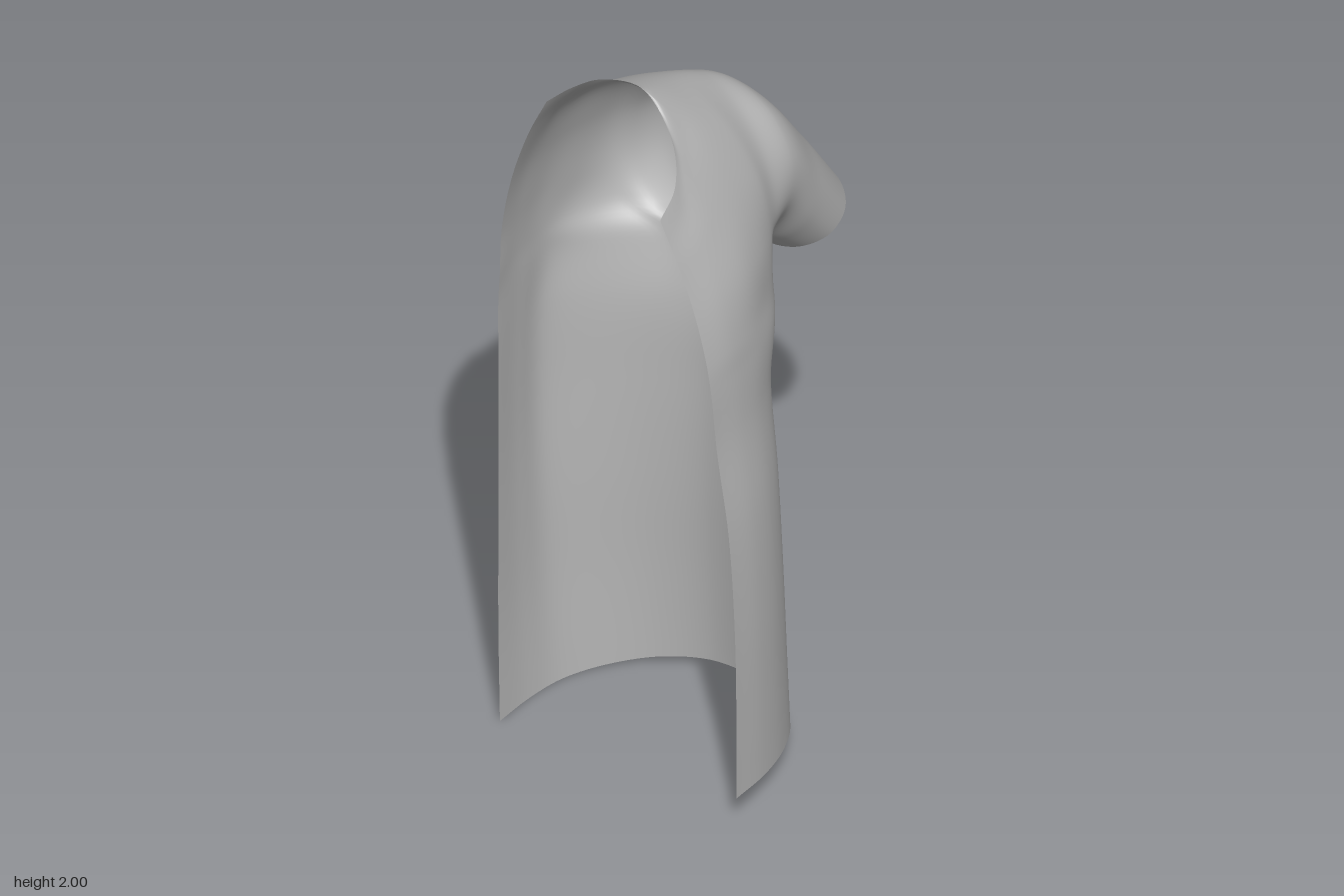
import * as THREE from 'three';
import { mergeVertices } from 'three/addons/utils/BufferGeometryUtils.js';

const V = (x, y, z) => new THREE.Vector3(x, y, z);
const CENTRE = -0.47; // open centre line of the half shirt
const COLS = 5;       // control columns from centre line to side seam / armhole
const NECK = 3;       // column that ends at the neck corner
const STEP = 7;       // grid steps per control span

// Torso rings: height, side seam x, front z, back z, shoulder blade fullness
const rings = [
  [0, 0.03, 0.4, -0.36, 0.025],
  [0.3, 0.012, 0.4, -0.365, 0.042],
  [0.6, -0.005, 0.395, -0.365, 0.055],
  [0.9, -0.008, 0.375, -0.365, 0.068],
  [1.15, 0.005, 0.337, -0.365, 0.07],
  [1.31, 0.05, 0.32, -0.365, 0.068],
];
const ARMPIT = rings.length - 1;

// Rows from armpit to neckline and shoulder ridge, centre line to armhole
const ridge = [[-0.26, 1.985, -0.07], [-0.11, 1.918, -0.1], [0.03, 1.852, -0.11]];
const frontRows = [
  [[-0.47, 1.4, 0.305], [-0.36, 1.4, 0.305], [-0.25, 1.4, 0.285], [-0.14, 1.4, 0.24], [-0.04, 1.4, 0.18], [0.03, 1.39, 0.08]],
  [[-0.47, 1.53, 0.27], [-0.36, 1.54, 0.27], [-0.25, 1.54, 0.255], [-0.14, 1.53, 0.22], [-0.05, 1.52, 0.18], [0.03, 1.5, 0.138]],
  [[-0.47, 1.66, 0.22], [-0.36, 1.68, 0.205], [-0.26, 1.7, 0.18], [-0.15, 1.71, 0.15], [-0.05, 1.68, 0.135], [0.03, 1.65, 0.113]],
  [[-0.47, 1.74, 0.18], [-0.37, 1.765, 0.155], [-0.3, 1.82, 0.115], [-0.21, 1.88, 0.05], [-0.08, 1.84, 0.03], [0.03, 1.78, 0.025]],
  [[-0.47, 1.79, 0.155], [-0.37, 1.825, 0.125], [-0.3, 1.9, 0.06], ...ridge],
];
const backRows = [
  [[-0.47, 1.4, -0.36], [-0.36, 1.4, -0.385], [-0.25, 1.4, -0.395], [-0.14, 1.4, -0.375], [-0.04, 1.4, -0.32], [0.03, 1.39, -0.24]],
  [[-0.47, 1.53, -0.355], [-0.36, 1.53, -0.375], [-0.25, 1.53, -0.385], [-0.14, 1.53, -0.37], [-0.05, 1.52, -0.348], [0.03, 1.5, -0.315]],
  [[-0.47, 1.7, -0.325], [-0.36, 1.7, -0.345], [-0.26, 1.7, -0.35], [-0.15, 1.7, -0.34], [-0.05, 1.68, -0.33], [0.03, 1.65, -0.315]],
  [[-0.47, 1.87, -0.27], [-0.37, 1.87, -0.277], [-0.3, 1.87, -0.28], [-0.2, 1.87, -0.265], [-0.08, 1.835, -0.25], [0.03, 1.78, -0.235]],
  [[-0.47, 2, -0.21], [-0.38, 2, -0.195], [-0.31, 2, -0.16], ...ridge],
];

// Sleeve rings: underarm x, y, top x, y, centre z, half depth, forward tilt
const sleeve = [
  [0.115, 1.335, 0.14, 1.783, -0.09, 0.212, 0],
  [0.19, 1.27, 0.31, 1.57, -0.08, 0.185, 0.04],
  [0.26, 1.21, 0.465, 1.345, -0.07, 0.163, 0.09],
];

function torsoRow([y, side, zf, zb, full], isHem, back) {
  const zc = -0.05, p = back ? 2 : 2.3;
  const bulge = [0, 0.5, 1, 0.75, 0.2, 0];
  return [0, 0.25, 0.48, 0.7, 0.9, 1].map((t, k) => {
    const s = Math.pow(1 - Math.pow(t, p), 1 / p);
    const z = zc + ((back ? zb : zf) - zc) * s - (back ? full * bulge[k] : 0);
    return V(CENTRE + (side - CENTRE) * t, isHem ? 0.045 + 0.125 * z : y, z);
  });
}

// Control net of one sheet; rows from the armpit upward run on into the sleeve
function controlNet(back) {
  const rows = rings.map((r, i) => torsoRow(r, i === 0, back));
  for (const row of back ? backRows : frontRows) rows.push(row.map((q) => V(...q)));
  for (let i = ARMPIT; i < rows.length; i++) {
    const a = (Math.PI * (i - ARMPIT)) / (rows.length - 1 - ARMPIT);
    for (const [bx, by, tx, ty, zc, w, tilt] of sleeve) {
      const f = (1 - Math.cos(a)) / 2, dz = (back ? -1 : 1) * w * Math.sin(a);
      rows[i].push(V(bx + (tx - bx) * f - tilt * dz, by + (ty - by) * f + tilt * dz, zc + dz));
    }
  }
  return rows;
}

// Point on a smooth curve at a control point index
const at = (pts, i) => new THREE.CatmullRomCurve3(pts).getPoint(Math.min(1, i / (pts.length - 1)));

// Point on column k at row position v, carried smoothly over ridge and underarm
function columnPoint(net, other, k, v) {
  const first = k > COLS ? ARMPIT : 0, last = net.length - 1;
  const pts = net.slice(first).map((row) => row[k]);
  if (k >= NECK) pts.push(other[last - 1][k], other[last - 2][k]);
  let index = v - first;
  if (k > COLS) {
    pts.unshift(other[ARMPIT + 1][k]);
    index++;
  }
  return at(pts, index);
}

function addSheet(net, other, back, positions, indices) {
  const uMax = COLS + sleeve.length, last = net.length - 1;
  let previous = null;
  for (let j = 0; j <= last * STEP; j++) {
    const v = j / STEP, upper = v >= ARMPIT, uEnd = upper ? uMax : COLS;
    const pts = [];
    for (let k = 0; k <= uEnd; k++) pts.push(columnPoint(net, other, k, v));
    // below the armpit the row rounds the side seam, easing toward the underarm
    if (!upper) {
      const round = columnPoint(other, net, COLS - 1, v);
      pts.push(round.lerp(net[ARMPIT][COLS + 1], Math.max(0, v - ARMPIT + 1)));
    }
    // the top row breaks cleanly at the neck corner
    const corner = Math.max(0, v - last + 1);
    const neckline = [...pts.slice(0, NECK + 1), other[last][NECK - 1]];
    const current = [];
    for (let i = 0; i <= uEnd * STEP; i++) {
      const u = i / STEP, point = at(pts, u);
      if (corner > 0) point.lerp(u <= NECK ? at(neckline, u) : at(pts.slice(NECK), u - NECK), corner);
      current.push(positions.length / 3);
      positions.push(...point.toArray());
    }
    if (previous) {
      for (let i = 0; i < previous.length - 1; i++) {
        const a = previous[i], b = previous[i + 1], c = current[i + 1], d = current[i];
        indices.push(...(back ? [a, c, b, a, d, c] : [a, b, c, a, c, d]));
      }
    }
    previous = current;
  }
}

export function createModel() {
  const cloth = new THREE.MeshStandardMaterial({ color: 0xb4b4b4, side: THREE.DoubleSide });
  cloth.name = 'grey cloth';

  // Front and back sheets welded into one seamless half shirt
  const front = controlNet(false), back = controlNet(true);
  const positions = [], indices = [];
  addSheet(front, back, false, positions, indices);
  addSheet(back, front, true, positions, indices);

  let geometry = new THREE.BufferGeometry();
  geometry.setAttribute('position', new THREE.Float32BufferAttribute(positions, 3));
  geometry.setIndex(indices);
  geometry = mergeVertices(geometry, 1e-4);
  geometry.computeVertexNormals();

  const shirt = new THREE.Mesh(geometry, cloth);
  shirt.name = 'halfShirt';
  const group = new THREE.Group();
  group.name = 'shirt';
  group.add(shirt);
  return group;
}
